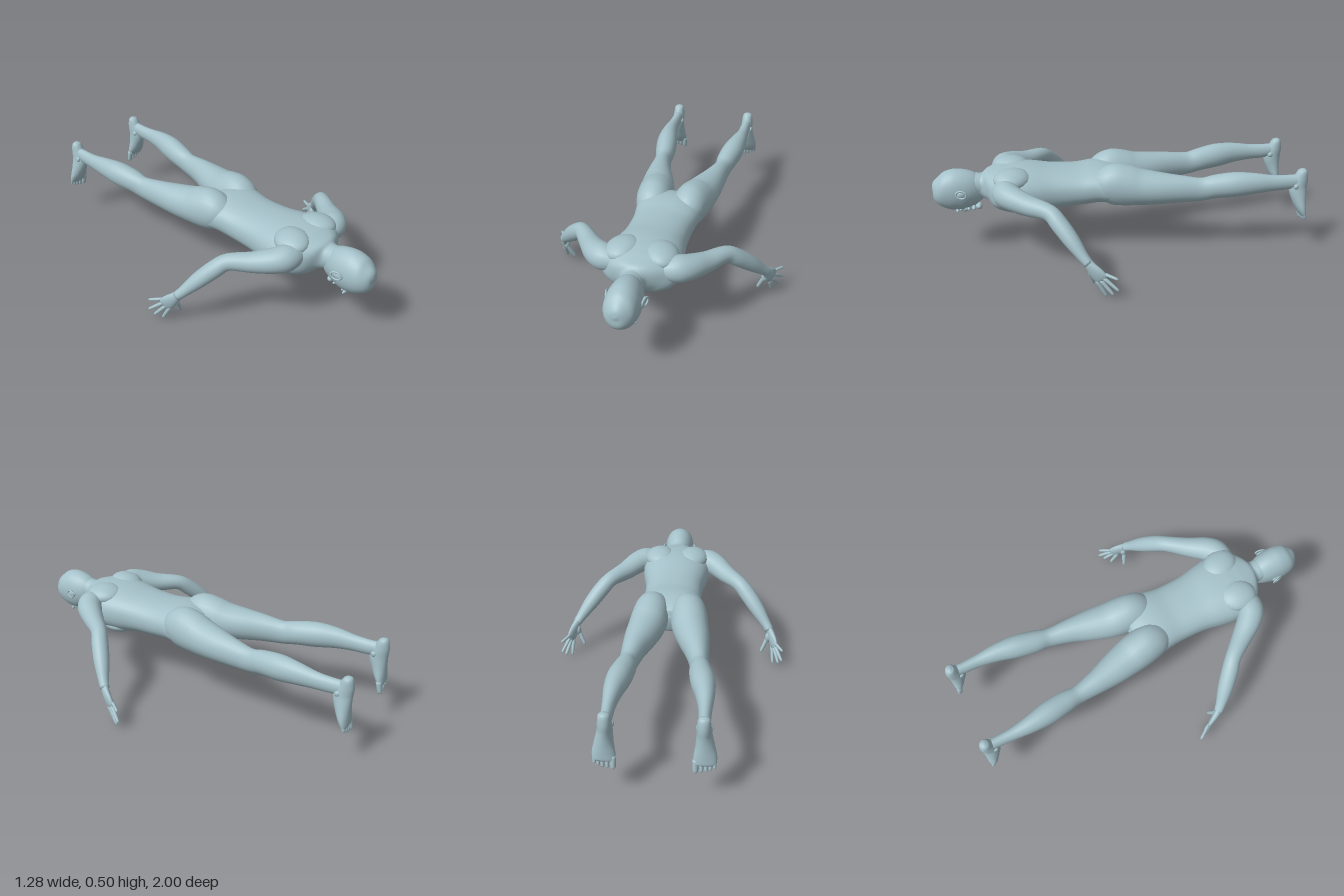
import * as THREE from 'three';

const skin = new THREE.MeshStandardMaterial({ color: 0xa5c1c9 });
skin.name = 'skin';

// Smooth tube of elliptical rings; stations are [x, y, z, half width, half depth]
function loft(name, stations, across, sides = 24, steps = 4, power = 2) {
  const path = new THREE.CatmullRomCurve3(
    stations.map(s => new THREE.Vector3(s[0], s[1], s[2])), false, 'catmullrom', 0.5);
  const size = new THREE.CatmullRomCurve3(
    stations.map(s => new THREE.Vector3(s[3], s[4], 0)), false, 'catmullrom', 0.5);
  const rings = (stations.length - 1) * steps;
  const pos = [], index = [];
  const hint = new THREE.Vector3(...across);
  const round = v => Math.sign(v) * Math.abs(v) ** (2 / power);
  for (let i = 0; i <= rings; i++) {
    const c = path.getPoint(i / rings), r = size.getPoint(i / rings);
    const t = path.getTangent(i / rings);
    const u = hint.clone().addScaledVector(t, -hint.dot(t)).normalize();
    const v = t.clone().cross(u);
    for (let j = 0; j < sides; j++) {
      const a = (j / sides) * Math.PI * 2;
      const p = c.clone()
        .addScaledVector(u, Math.max(r.x, 0.001) * round(Math.cos(a)))
        .addScaledVector(v, Math.max(r.y, 0.001) * round(Math.sin(a)));
      pos.push(p.x, p.y, p.z);
    }
  }
  for (let i = 0; i < rings; i++) {
    for (let j = 0; j < sides; j++) {
      const a = i * sides + j, b = i * sides + (j + 1) % sides;
      index.push(a, b, a + sides, b, b + sides, a + sides);
    }
  }
  // end caps
  const first = pos.length / 3, last = rings * sides;
  for (const s of [stations[0], stations[stations.length - 1]]) pos.push(s[0], s[1], s[2]);
  for (let j = 0; j < sides; j++) {
    const k = (j + 1) % sides;
    index.push(first, k, j, first + 1, last + j, last + k);
  }
  const geo = new THREE.BufferGeometry();
  geo.setAttribute('position', new THREE.Float32BufferAttribute(pos, 3));
  geo.setIndex(index);
  geo.computeVertexNormals();
  const mesh = new THREE.Mesh(geo, skin);
  mesh.name = name;
  return mesh;
}

// Soft ellipsoid for muscles and facial features
function lump(name, [x, y, z], [rx, ry, rz], [ax, ay, az] = [0, 0, 0]) {
  const mesh = new THREE.Mesh(new THREE.SphereGeometry(1, 20, 14), skin);
  mesh.name = name;
  mesh.position.set(x, y, z);
  mesh.scale.set(rx, ry, rz);
  mesh.rotation.set(ax, ay, az);
  return mesh;
}

// Finger, thumb or toe from a base to a rounded tip
function digit(name, a, b, r, across) {
  const at = (k, s) => [0, 1, 2].map(i => a[i] + (b[i] - a[i]) * k).concat(r * s, r * s);
  return loft(name, [at(0, 1.05), at(0.4, 1), at(0.75, 0.9), at(0.93, 0.7), at(1, 0.15)], across, 10, 2);
}

function makeHead() {
  const head = new THREE.Group();
  head.name = 'head';
  head.add(loft('skull', [
    [0, 0.385, 0.999, 0.006, 0.006], [0, 0.384, 0.988, 0.04, 0.048],
    [0, 0.377, 0.955, 0.073, 0.088], [0, 0.371, 0.905, 0.085, 0.111],
    [0, 0.367, 0.855, 0.085, 0.115], [0, 0.36, 0.81, 0.078, 0.108],
    [0, 0.342, 0.77, 0.062, 0.089], [0, 0.325, 0.745, 0.044, 0.062],
    [0, 0.315, 0.733, 0.015, 0.025]], [1, 0, 0], 32));
  head.add(loft('neck', [
    [0, 0.40, 0.84, 0.058, 0.06], [0, 0.395, 0.78, 0.06, 0.062],
    [0, 0.388, 0.73, 0.062, 0.065], [0, 0.385, 0.66, 0.085, 0.08]], [1, 0, 0]));
  head.add(lump('nose', [0, 0.252, 0.829], [0.013, 0.017, 0.026], [0.25, 0, 0]));
  head.add(lump('lips', [0, 0.254, 0.788], [0.024, 0.009, 0.011]));
  head.add(lump('chin', [0, 0.263, 0.76], [0.026, 0.018, 0.018]));
  for (const s of [1, -1]) {
    head.add(lump('brow', [s * 0.033, 0.268, 0.875], [0.03, 0.012, 0.009], [0, s * 0.15, -s * 0.3]));
    head.add(lump('eye', [s * 0.034, 0.265, 0.856], [0.015, 0.009, 0.009]));
    head.add(lump('nostril', [s * 0.011, 0.251, 0.815], [0.008, 0.009, 0.009]));
    head.add(lump('ear', [s * 0.087, 0.372, 0.842], [0.008, 0.018, 0.028], [0.3, 0, 0]));
    const rim = new THREE.Mesh(new THREE.TorusGeometry(0.021, 0.005, 8, 20), skin);
    rim.name = 'earRim';
    rim.position.set(s * 0.094, 0.374, 0.845);
    rim.rotation.set(0, Math.PI / 2 - s * 0.25, 0);
    rim.scale.set(1.3, 1, 1);
    head.add(rim);
  }
  return head;
}

function makeTorso() {
  const torso = new THREE.Group();
  torso.name = 'torso';
  torso.add(loft('trunk', [
    [0, 0.39, 0.76, 0.055, 0.055], [0, 0.387, 0.725, 0.07, 0.07],
    [0, 0.388, 0.69, 0.135, 0.085], [0, 0.383, 0.65, 0.185, 0.102],
    [0, 0.373, 0.59, 0.195, 0.118], [0, 0.365, 0.52, 0.193, 0.125],
    [0, 0.362, 0.45, 0.182, 0.122], [0, 0.363, 0.35, 0.164, 0.108],
    [0, 0.365, 0.22, 0.162, 0.1], [0, 0.375, 0.12, 0.174, 0.098],
    [0, 0.37, 0.05, 0.185, 0.092], [0, 0.355, 0, 0.14, 0.075],
    [0, 0.35, -0.025, 0.06, 0.04]], [1, 0, 0], 36, 4, 2.3));
  for (const s of [1, -1]) {
    torso.add(lump('shoulderBlade', [s * 0.1, 0.452, 0.575], [0.085, 0.05, 0.1], [0, s * 0.3, -s * 0.12]));
    torso.add(lump('chestMuscle', [s * 0.085, 0.278, 0.5], [0.085, 0.042, 0.09], [0, -s * 0.3, s * 0.15]));
  }
  return torso;
}

function makeLeg(s) {
  const leg = new THREE.Group();
  leg.name = s > 0 ? 'leftLeg' : 'rightLeg';
  const side = list => list.map(([x, ...rest]) => [s * x, ...rest]);
  leg.add(loft('thighAndCalf', side([
    [0.09, 0.4, 0.16, 0.04, 0.03], [0.095, 0.397, 0.1, 0.082, 0.088],
    [0.1, 0.391, 0.04, 0.096, 0.114], [0.108, 0.382, -0.03, 0.1, 0.112],
    [0.12, 0.373, -0.1, 0.096, 0.1], [0.142, 0.369, -0.2, 0.083, 0.088],
    [0.162, 0.367, -0.3, 0.064, 0.077], [0.179, 0.364, -0.42, 0.048, 0.065],
    [0.188, 0.38, -0.5, 0.057, 0.065], [0.204, 0.392, -0.6, 0.06, 0.068],
    [0.217, 0.397, -0.7, 0.048, 0.058], [0.222, 0.395, -0.8, 0.034, 0.045],
    [0.222, 0.395, -0.88, 0.029, 0.041], [0.223, 0.4, -0.95, 0.028, 0.038]]), [1, 0, 0]));
  leg.add(loft('foot', side([
    [0.222, 0.468, -0.965, 0.01, 0.01], [0.222, 0.455, -0.964, 0.027, 0.025],
    [0.222, 0.41, -0.956, 0.033, 0.041], [0.224, 0.36, -0.944, 0.036, 0.049],
    [0.229, 0.3, -0.953, 0.045, 0.04], [0.231, 0.25, -0.966, 0.054, 0.029],
    [0.23, 0.215, -0.978, 0.052, 0.018], [0.23, 0.206, -0.981, 0.04, 0.01]]), [1, 0, 0]));
  for (const z of [1, -1]) {
    leg.add(lump('ankleBone', [s * (0.223 + z * 0.029), 0.378, -0.925], [0.01, 0.015, 0.015]));
  }
  // big toe on the inside, little toe on the outside
  [[0.188, 0.162, 0.0145], [0.215, 0.166, 0.01], [0.236, 0.172, 0.01], [0.256, 0.181, 0.0095], [0.274, 0.193, 0.009]]
    .forEach(([x, tip, r]) => leg.add(
      digit('toe', [s * x, 0.232, -0.972], [s * x, tip, -0.986], r, [1, 0, 0])));
  return leg;
}

function makeArm(s) {
  const arm = new THREE.Group();
  arm.name = s > 0 ? 'leftArm' : 'rightArm';
  const side = list => list.map(([x, ...rest]) => [s * x, ...rest]);
  arm.add(loft('upperArmAndForearm', side([
    [0.11, 0.41, 0.635, 0.045, 0.045], [0.18, 0.41, 0.615, 0.068, 0.068],
    [0.235, 0.404, 0.578, 0.064, 0.066], [0.3, 0.388, 0.497, 0.053, 0.054],
    [0.375, 0.381, 0.402, 0.043, 0.043], [0.425, 0.34, 0.357, 0.045, 0.045],
    [0.485, 0.274, 0.302, 0.041, 0.041], [0.535, 0.212, 0.255, 0.029, 0.029],
    [0.562, 0.178, 0.226, 0.024, 0.024]]), [0, 1, 0]));
  const across = [s * 0.025, 0.05, -0.045];
  arm.add(loft('palm', side([
    [0.548, 0.196, 0.241, 0.023, 0.021], [0.566, 0.168, 0.219, 0.029, 0.019],
    [0.58, 0.137, 0.193, 0.038, 0.017], [0.589, 0.112, 0.172, 0.039, 0.013],
    [0.593, 0.1, 0.162, 0.028, 0.007]]), across, 20));
  // index, middle, ring, little finger, thumb
  [[[0.58, 0.093, 0.192], [0.588, 0.003, 0.143], 0.01],
    [[0.589, 0.1, 0.173], [0.618, 0.024, 0.112], 0.01],
    [[0.595, 0.115, 0.159], [0.635, 0.056, 0.088], 0.0095],
    [[0.596, 0.135, 0.151], [0.635, 0.122, 0.092], 0.0085],
    [[0.558, 0.142, 0.222], [0.517, 0.042, 0.198], 0.0115]]
    .forEach(([a, b, r], i) => arm.add(digit(i < 4 ? 'finger' : 'thumb', ...side([a, b]), r, across)));
  arm.add(lump('thumbBase', [s * 0.556, 0.136, 0.215], [0.018, 0.032, 0.018]));
  return arm;
}

export function createModel() {
  const body = new THREE.Group();
  body.name = 'proneFigure';
  body.add(makeHead(), makeTorso());
  for (const s of [1, -1]) body.add(makeLeg(s), makeArm(s));
  return body;
}
